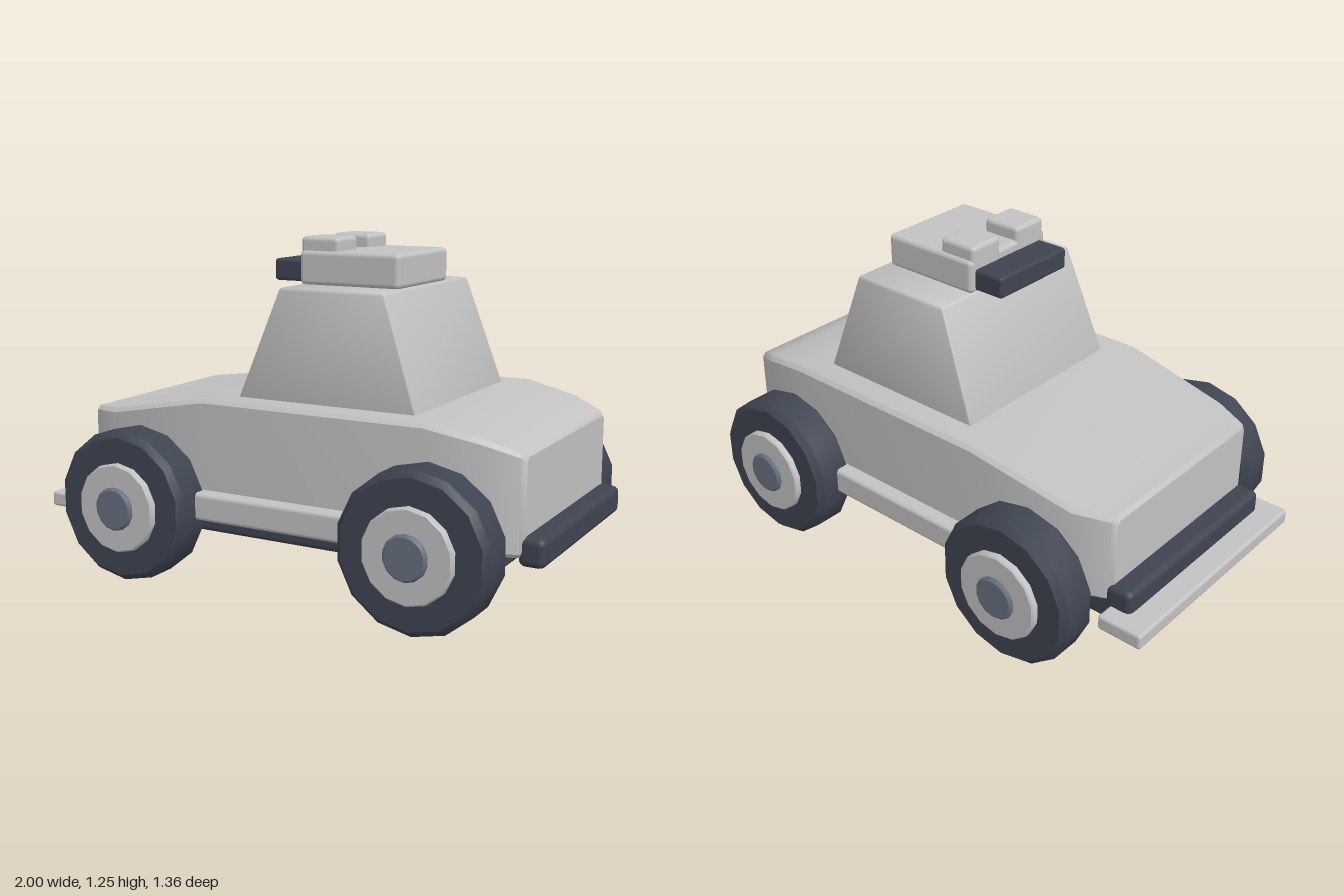
import * as THREE from 'three';
import { toCreasedNormals } from 'three/addons/utils/BufferGeometryUtils.js';
import { RoundedBoxGeometry } from 'three/addons/geometries/RoundedBoxGeometry.js';

const material = (name, color) => {
  const m = new THREE.MeshStandardMaterial({ color });
  m.name = name;
  return m;
};

// Closed hull lofted along x from bevelled cross-sections [x, top, halfWidth]
function hullGeometry(sections, bottom, bevel) {
  const first = sections[0], last = sections[sections.length - 1];
  const rings = [
    [first[0], first[1], first[2], bevel],
    ...sections.map(([x, top, hw], i) =>
      [x + (i === 0 ? bevel : i === sections.length - 1 ? -bevel : 0), top, hw, 0]),
    [last[0], last[1], last[2], bevel],
  ];
  const pos = [], idx = [];
  for (const [x, top, hw, inset] of rings) {
    const t = top - inset, w = hw - inset, b = bottom + inset;
    const half = [[t, w - bevel], [t - bevel, w], [b + bevel, w], [b, w - bevel]];
    for (const [y, z] of half) pos.push(x, y, z);
    for (const [y, z] of half.reverse()) pos.push(x, y, -z);
  }
  const n = 8, end = (rings.length - 1) * n;
  for (let r = 0; r < rings.length - 1; r++) {
    for (let k = 0; k < n; k++) {
      const a = r * n + k, b = r * n + (k + 1) % n;
      idx.push(a, b, b + n, a, b + n, a + n);
    }
  }
  for (let k = 1; k < n - 1; k++) idx.push(0, k + 1, k, end, end + k, end + k + 1);
  const g = new THREE.BufferGeometry();
  g.setAttribute('position', new THREE.Float32BufferAttribute(pos, 3));
  g.setIndex(idx);
  return toCreasedNormals(g, 0.6);
}

// Bevelled disc whose axis runs along z
function discGeometry(radius, depth, bevel, sides) {
  const h = depth / 2;
  const points = [[0, -h], [radius - bevel, -h], [radius, bevel - h],
    [radius, h - bevel], [radius - bevel, h], [0, h]].map(([x, y]) => new THREE.Vector2(x, y));
  return toCreasedNormals(new THREE.LatheGeometry(points, sides).rotateX(Math.PI / 2), 0.5);
}

export function createModel() {
  const paint = material('light grey paint', 0xc2c2c2);
  const dark = material('dark slate', 0x3e4451);
  const steel = material('blue grey hub', 0x667080);
  const model = new THREE.Group();
  model.name = 'car';

  const add = (name, geometry, mat, x = 0, y = 0, z = 0, parent = model) => {
    const mesh = new THREE.Mesh(geometry, mat);
    mesh.name = name;
    mesh.position.set(x, y, z);
    parent.add(mesh);
    return mesh;
  };
  // Rounded box given by its limits on each axis
  const box = (name, mat, [x0, x1], [y0, y1], [z0, z1], radius) =>
    add(name, new RoundedBoxGeometry(x1 - x0, y1 - y0, z1 - z0, 2, radius), mat,
      (x0 + x1) / 2, (y0 + y1) / 2, (z0 + z1) / 2);

  // Body with sloping hood and tail, narrowing at both ends
  add('body', hullGeometry([
    [-0.83, 0.59, 0.405], [-0.69, 0.60, 0.46], [-0.27, 0.68, 0.49],
    [0.60, 0.68, 0.49], [0.80, 0.64, 0.46], [0.93, 0.60, 0.41],
  ], 0.25, 0.015), paint);

  // Cabin: a box tapered towards the roof
  const cabin = new RoundedBoxGeometry(1, 0.41, 1, 2, 0.012);
  const p = cabin.attributes.position;
  for (let i = 0; i < p.count; i++) {
    const t = p.getY(i) / 0.41 + 0.5;
    const x0 = THREE.MathUtils.lerp(-0.185, -0.025, t);
    const x1 = THREE.MathUtils.lerp(0.53, 0.385, t);
    p.setX(i, x0 + (p.getX(i) + 0.5) * (x1 - x0));
    p.setZ(i, p.getZ(i) * THREE.MathUtils.lerp(0.765, 0.70, t));
  }
  cabin.deleteAttribute('normal');
  add('cabin', toCreasedNormals(cabin, 0.6), paint, 0, 0.873, 0);

  // Roof unit
  box('roofBox', paint, [-0.03, 0.37], [1.075, 1.2], [-0.205, 0.205], 0.018);
  box('roofVisor', dark, [-0.15, 0], [1.085, 1.165], [-0.18, 0.18], 0.012);
  for (const s of [-1, 1]) {
    const z = [0.045, 0.192].map(v => v * s).sort((a, b) => a - b);
    box('roofLamp', paint, [-0.032, 0.125], [1.15, 1.25], z, 0.018);
  }

  // Underside, bumpers and front splitter
  box('chassis', dark, [-0.82, 0.81], [0.155, 0.265], [-0.387, 0.387], 0.018);
  box('frontBumper', dark, [-0.91, -0.8], [0.22, 0.323], [-0.41, 0.41], 0.025);
  box('rearBumper', dark, [0.905, 1], [0.22, 0.323], [-0.405, 0.405], 0.025);
  box('splitter', paint, [-1, -0.825], [0.185, 0.243], [-0.477, 0.477], 0.012);

  // Side sills and wheels, mirrored left and right of the body
  const tyre = discGeometry(0.28, 0.16, 0.022, 14);
  const rim = discGeometry(0.165, 0.05, 0.006, 14);
  const hub = discGeometry(0.08, 0.06, 0.008, 14);
  for (const s of [-1, 1]) {
    add('sill', new RoundedBoxGeometry(0.8, 0.1, 0.14, 2, 0.015), paint, 0.05, 0.297, 0.478 * s);
    for (const x of [-0.537, 0.63]) {
      const wheel = new THREE.Group();
      wheel.name = x < 0 ? 'frontWheel' : 'rearWheel';
      wheel.position.set(x, 0.28, 0.557 * s);
      model.add(wheel);
      add('tyre', tyre, dark, 0, 0, 0, wheel);
      add('rim', rim, paint, 0, 0, 0.08 * s, wheel);
      add('hub', hub, steel, 0, 0, 0.091 * s, wheel);
    }
  }
  return model;
}
